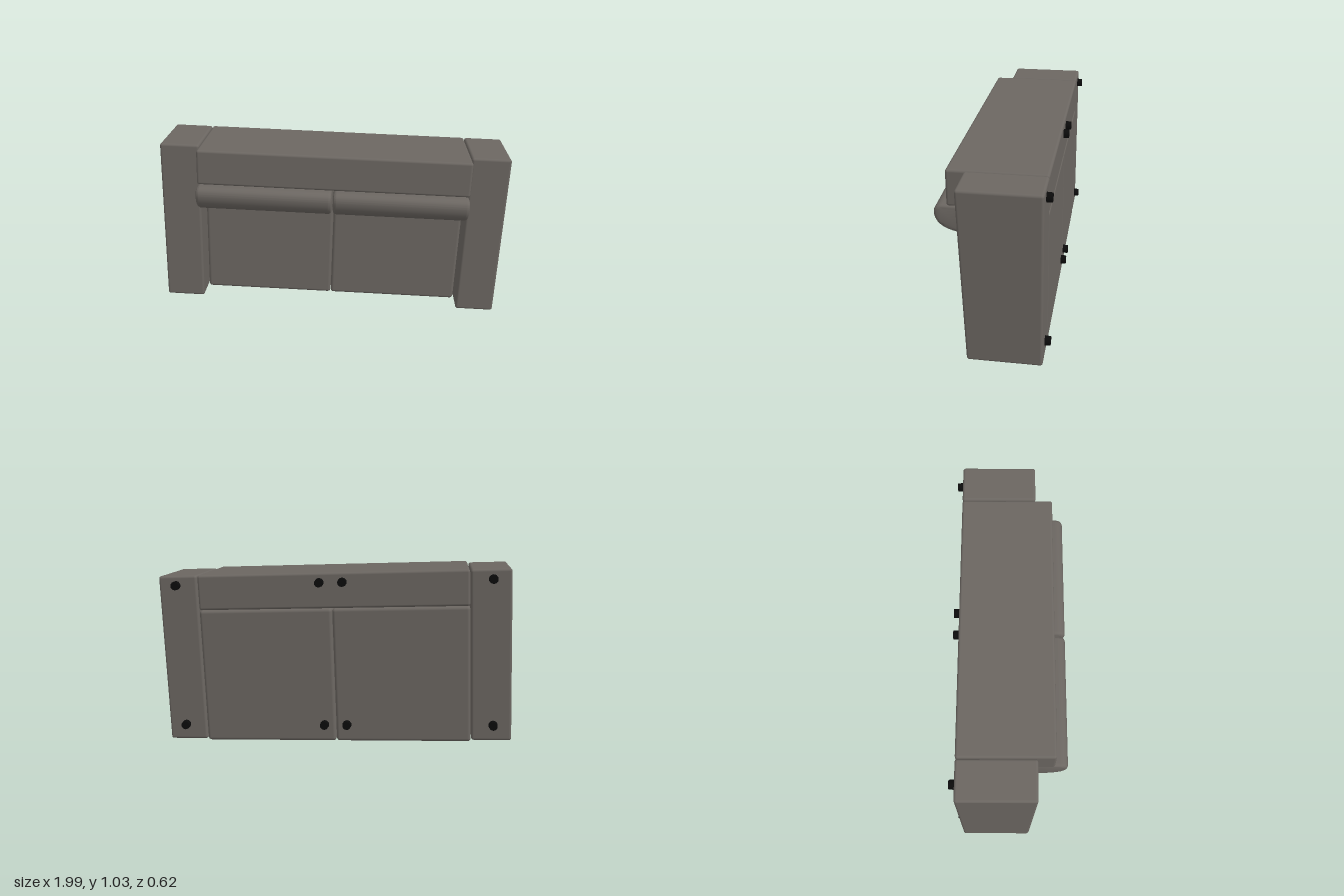
import * as THREE from 'three';
import { RoundedBoxGeometry } from 'three/addons/geometries/RoundedBoxGeometry.js';
import { toCreasedNormals } from 'three/addons/utils/BufferGeometryUtils.js';

const BACK = -0.275; // plane of the underside, which carries the feet

// Rounded block between two corners; slant pushes the +z face out towards the top
function block(x0, x1, y0, y1, z1, radius, slant = 0) {
  const g = new RoundedBoxGeometry(x1 - x0, y1 - y0, z1 - BACK, 4, radius);
  g.translate((x0 + x1) / 2, (y0 + y1) / 2, (z1 + BACK) / 2);
  const p = g.attributes.position;
  const mid = (z1 + BACK) / 2;
  for (let i = 0; i < p.count; i++) {
    if (p.getZ(i) > mid) {
      p.setZ(i, p.getZ(i) + slant * (p.getY(i) - y0) / (y1 - y0));
    }
  }
  return g;
}

// Plump back cushion: side profile (z, y) swept along x with softened ends
function cushionGeometry(width) {
  const bevel = 0.02;
  const s = new THREE.Shape();
  s.moveTo(-0.05, 0.26);
  s.lineTo(0.26, 0.262);
  s.quadraticCurveTo(0.29, 0.262, 0.29, 0.235);
  s.bezierCurveTo(0.287, 0.18, 0.24, 0.155, 0.14, 0.142);
  s.lineTo(-0.05, 0.115);
  s.closePath();
  const g = new THREE.ExtrudeGeometry(s, {
    depth: width - 2 * bevel, bevelEnabled: true, bevelSize: bevel,
    bevelThickness: bevel, bevelSegments: 5, curveSegments: 14,
  });
  g.translate(0, 0, -(width - 2 * bevel) / 2);
  g.rotateY(-Math.PI / 2); // shape x -> z, depth -> -x
  return toCreasedNormals(g, 0.7);
}

export function createModel() {
  const fabric = new THREE.MeshStandardMaterial({ color: 0x6b6661 });
  fabric.name = 'grey fabric';
  const black = new THREE.MeshStandardMaterial({ color: 0x0b0b0b });
  black.name = 'black plastic';

  const model = new THREE.Group();
  model.name = 'sofa';
  // The sofa rests on end, feet towards -z, slightly tilted
  const body = new THREE.Group();
  body.name = 'tiltedSofa';
  body.position.y = 0.52;
  body.rotation.z = -0.036;
  model.add(body);

  const add = (name, geometry, material = fabric) => {
    const mesh = new THREE.Mesh(geometry, material);
    mesh.name = name;
    body.add(mesh);
    return mesh;
  };

  // Backrest across the top
  add('backrest', block(-0.757, 0.757, 0.28, 0.478, 0.24, 0.014));

  const cushion = cushionGeometry(0.75);
  for (const side of [-1, 1]) {
    const label = side > 0 ? 'left' : 'right';
    const span = (a, b) => (side > 0 ? [a, b] : [-b, -a]);

    // Armrest
    add(label + 'Arm', block(...span(0.76, 0.98), -0.478, 0.478, 0.115, 0.014, 0.03));

    // Seat half, with a seam in the middle
    add(label + 'Seat', block(...span(0.001, 0.758), -0.487, 0.278, -0.03, 0.018, 0.03));

    // Back cushion
    add(label + 'Cushion', cushion).position.x = side * 0.379;

    // Feet: outer and inner pairs
    for (const x of [0.88, 0.064]) {
      for (const y of [0.425, -0.388]) {
        const foot = new THREE.CylinderGeometry(0.026, 0.024, 0.034, 10);
        foot.rotateX(Math.PI / 2);
        add(label + 'Foot', foot, black).position.set(side * x, y, BACK - 0.013);
      }
    }
  }
  return model;
}
